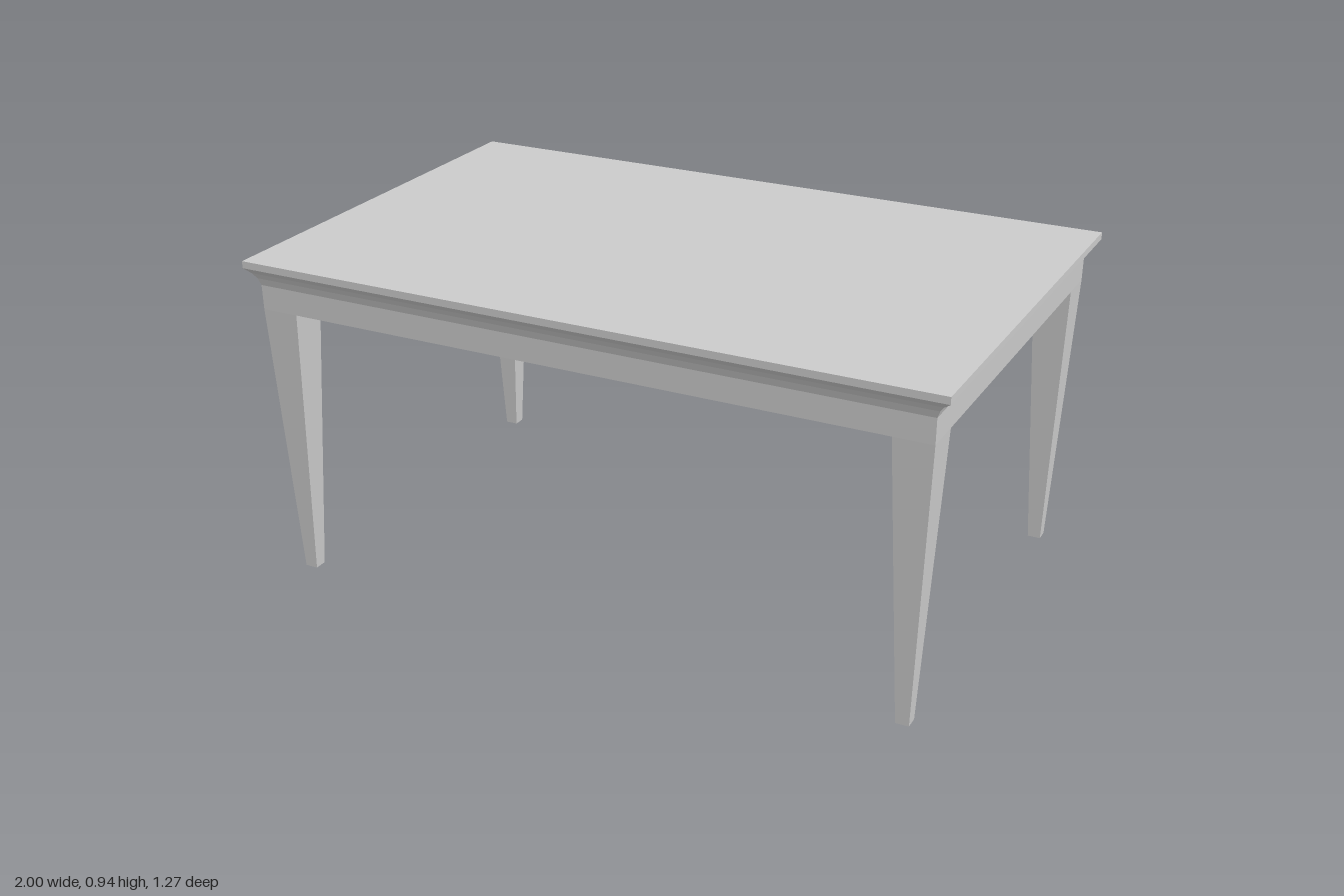
import * as THREE from 'three';

const material = new THREE.MeshStandardMaterial({ color: 0xcccccc, flatShading: true });

// Skin a stack of rectangles [halfX, halfZ, y, centreX, centreZ] with flat faces
function loft(name, rings, capStart, capEnd) {
  const corners = rings.map(([hx, hz, y, cx = 0, cz = 0]) => [
    [cx + hx, y, cz + hz], [cx + hx, y, cz - hz], [cx - hx, y, cz - hz], [cx - hx, y, cz + hz],
  ]);
  const positions = [];
  const quad = (a, b, c, d) => positions.push(...a, ...b, ...c, ...a, ...c, ...d);
  for (let i = 0; i < corners.length - 1; i++) {
    for (let k = 0; k < 4; k++) {
      const n = (k + 1) % 4;
      quad(corners[i][k], corners[i][n], corners[i + 1][n], corners[i + 1][k]);
    }
  }
  if (capStart) quad(...[...corners[0]].reverse());
  if (capEnd) quad(...corners[corners.length - 1]);
  const geometry = new THREE.BufferGeometry();
  geometry.setAttribute('position', new THREE.Float32BufferAttribute(positions, 3));
  geometry.computeVertexNormals();
  const mesh = new THREE.Mesh(geometry, material);
  mesh.name = name;
  return mesh;
}

export function createModel() {
  const table = new THREE.Group();
  table.name = 'table';

  // Flat top slab
  table.add(loft('tableTop', [[1, 0.634, 0.92], [1, 0.634, 0.94]], false, true));

  // Concave moulding flaring from the apron out to the slab
  const cove = [[0, 0.87], [0.2, 0.89], [0.5, 0.905], [1, 0.92]];
  table.add(loft('coveMoulding',
    cove.map(([t, y]) => [0.962 + 0.038 * t, 0.609 + 0.025 * t, y]), false, false));

  // Apron frame: recessed underside, inner walls, bottom rim, outer walls
  table.add(loft('apron', [
    [0.854, 0.501, 0.845], [0.854, 0.501, 0.8], [0.961, 0.608, 0.8], [0.962, 0.609, 0.87],
  ], true, false));

  // Four square legs tapering to the floor
  for (const sx of [1, -1]) {
    for (const sz of [1, -1]) {
      const name = (sz > 0 ? 'front' : 'back') + (sx > 0 ? 'Left' : 'Right') + 'Leg';
      table.add(loft(name, [
        [0.0185, 0.0185, 0, sx * 0.9065, sz * 0.555],
        [0.0535, 0.0535, 0.8, sx * 0.9075, sz * 0.5545],
      ], true, false));
    }
  }
  return table;
}
